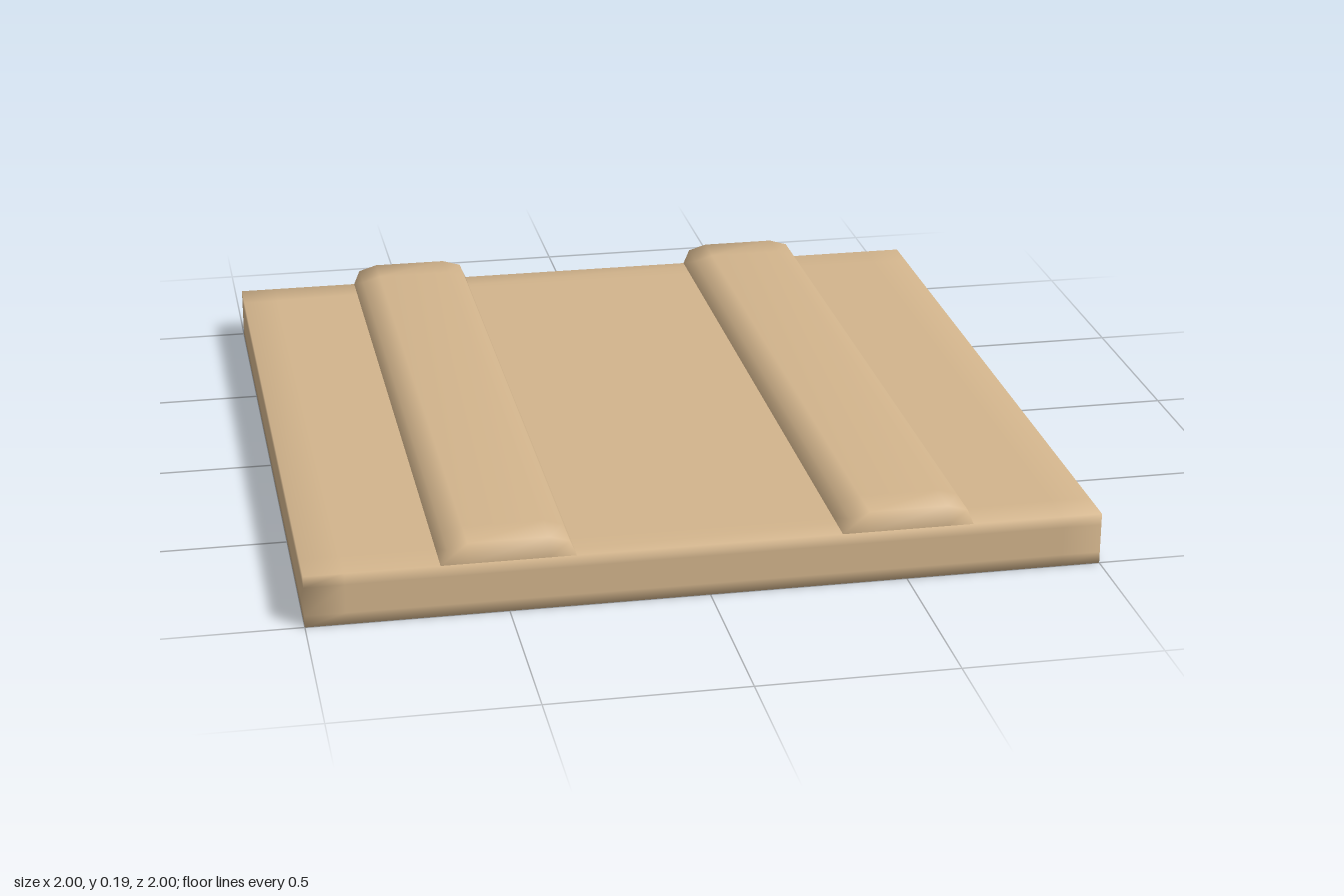
import * as THREE from 'three';
import { mergeVertices } from 'three/addons/utils/BufferGeometryUtils.js';

const material = new THREE.MeshStandardMaterial({ color: 0xd2b48c });
const Z = [-1, -0.9, 0.9, 1];

// Box grid whose vertices are moved by place(i, j, k), welded so that shading blends over the edges
function softBox(ySegments, place, dropBottom = false) {
  let geo = new THREE.BoxGeometry(1, 1, 1, 3, ySegments, 3);
  if (dropBottom) {
    const bottom = geo.groups[3];
    const index = Array.from(geo.index.array);
    index.splice(bottom.start, bottom.count);
    geo.setIndex(index);
  }
  geo.clearGroups();
  const pos = geo.attributes.position;
  for (let n = 0; n < pos.count; n++) {
    const i = Math.round((pos.getX(n) + 0.5) * 3);
    const j = Math.round((pos.getY(n) + 0.5) * ySegments);
    const k = Math.round((pos.getZ(n) + 0.5) * 3);
    pos.setXYZ(n, ...place(i, j, k));
  }
  geo.deleteAttribute('normal');
  geo.deleteAttribute('uv');
  geo = mergeVertices(geo);
  geo.computeVertexNormals();
  return geo;
}

export function createModel() {
  const group = new THREE.Group();

  // Flat square slab with soft-shaded edges
  const slabY = [0, 0.03, 0.105, 0.135];
  const slab = new THREE.Mesh(softBox(3, (i, j, k) => [Z[i], slabY[j], Z[k]]), material);
  slab.name = 'slab';
  group.add(slab);

  // Two raised battens with bevelled shoulders, open where they meet the slab
  const footX = [-0.167, -0.1, 0.1, 0.167];
  const topX = [-0.15, -0.1, 0.1, 0.15];
  const topY = [0.04, 0.055, 0.055, 0.04];
  const battenGeo = softBox(1, (i, j, k) => [j ? topX[i] : footX[i], j ? topY[i] : 0, Z[k]], true);
  for (const side of [-1, 1]) {
    const batten = new THREE.Mesh(battenGeo, material);
    batten.name = side > 0 ? 'leftBatten' : 'rightBatten';
    batten.position.set(side * 0.5, 0.135, 0);
    group.add(batten);
  }
  return group;
}
